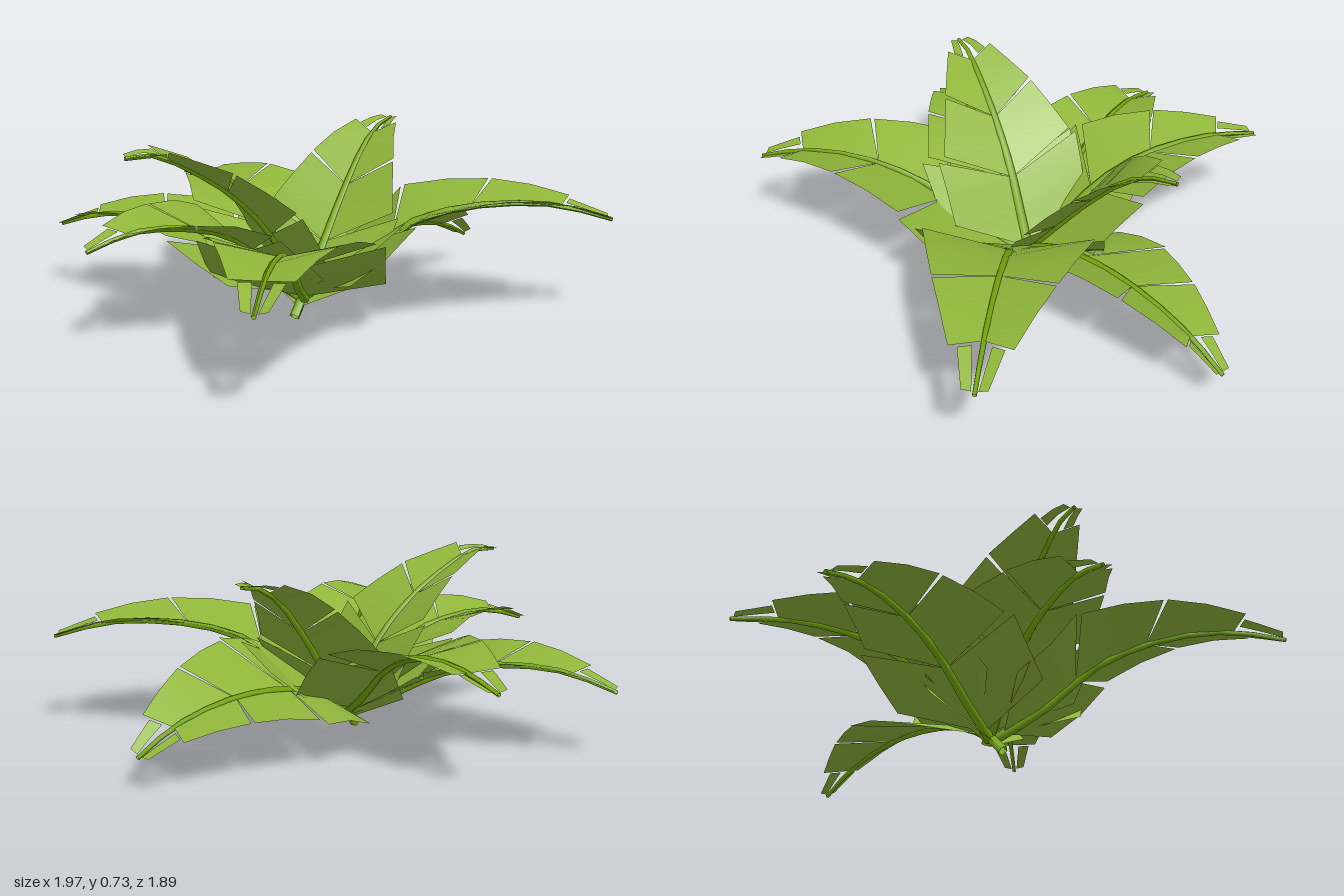
import * as THREE from 'three';

const leafMat = new THREE.MeshStandardMaterial({ color: 0x8fb63a, side: THREE.DoubleSide });
const stemMat = new THREE.MeshStandardMaterial({ color: 0x76a80c, side: THREE.DoubleSide });

// Leaflet pairs along a frond: range on the stem, then inner gap, width, forward sweep
// and upward fold at both ends
const SEGMENTS = [
  { s: [0.04, 0.32], gap: [0, 0], w: [0.33, 0.345], sweep: [0.16, 0.125], lift: [0.1, 0.14] },
  { s: [0.32, 0.57], gap: [0, 0], w: [0.315, 0.22], sweep: [0.145, 0.11], lift: [0.16, 0.22] },
  { s: [0.57, 0.84], gap: [0, 0], w: [0.215, 0.11], sweep: [0.125, 0.05], lift: [0.22, 0.25] },
  { s: [0.86, 0.99], gap: [0.035, 0.012], w: [0.08, 0.045], sweep: [0.02, 0], lift: [0.25, 0.25] },
];

// Fronds: base and tip in plan [x, z], roll about the stem, relative width,
// and the stem's rise as [fraction of the way out, height]
const FRONDS = [
  { name: 'backLeftFrond', base: [-0.09, 0.10], tip: [-0.65, -0.86], roll: 0, width: 0.97,
    rise: [[0, 0.07], [0.17, 0.16], [0.38, 0.28], [0.6, 0.335], [0.82, 0.33], [1, 0.27]] },
  { name: 'backFrond', base: [-0.09, 0.10], tip: [0.04, -0.94], roll: 0, width: 0.95,
    rise: [[0, 0.07], [0.13, 0.17], [0.3, 0.32], [0.5, 0.41], [0.78, 0.43], [1, 0.39]] },
  { name: 'sideFrond', base: [-0.09, 0.10], tip: [0.98, -0.11], roll: 0.34, width: 1,
    rise: [[0, 0.08], [0.16, 0.185], [0.4, 0.245], [0.62, 0.25], [0.85, 0.205], [1, 0.13]] },
  { name: 'frontRightFrond', base: [-0.09, 0.11], tip: [0.87, 0.82], roll: 0, width: 1.04,
    rise: [[0, 0.08], [0.18, 0.22], [0.33, 0.37], [0.52, 0.44], [0.8, 0.45], [1, 0.39]] },
  { name: 'frontLeftFrond', base: [-0.09, 0.11], tip: [-0.89, 0.92], roll: 0, width: 1,
    rise: [[0, 0.07], [0.18, 0.18], [0.37, 0.34], [0.6, 0.42], [0.82, 0.42], [1, 0.36]] },
  { name: 'lowSideFrond', base: [-0.08, 0.10], tip: [-0.98, 0.01], roll: 0, width: 0.97,
    rise: [[0, 0.07], [0.14, 0.2], [0.36, 0.36], [0.55, 0.415], [0.8, 0.43], [1, 0.38]] },
  { name: 'uprightFrondA', base: [-0.15, 0.12], tip: [0.57, -0.16], roll: 0, width: 0.9,
    rise: [[0, 0.01], [0.14, 0.13], [0.28, 0.26], [0.49, 0.45], [0.7, 0.61], [0.86, 0.68], [1, 0.70]] },
  { name: 'uprightFrondB', base: [-0.06, 0.10], tip: [-0.82, 0.02], roll: 0, width: 0.88,
    rise: [[0, 0.06], [0.1, 0.18], [0.25, 0.37], [0.46, 0.53], [0.66, 0.63], [0.85, 0.70], [1, 0.70]] },
];

const lerp = THREE.MathUtils.lerp;

// Tapered five-sided midrib
function makeStem(curve) {
  const rings = 10, sides = 5;
  const geo = new THREE.TubeGeometry(curve, rings, 0.021, sides);
  const pos = geo.attributes.position, p = new THREE.Vector3();
  for (let i = 0; i < pos.count; i++) {
    const u = Math.floor(i / (sides + 1)) / rings;
    const centre = curve.getPointAt(u);
    p.fromBufferAttribute(pos, i).sub(centre).multiplyScalar(lerp(1, 0.4, u)).add(centre);
    pos.setXYZ(i, p.x, p.y, p.z);
  }
  geo.computeVertexNormals();
  const stem = new THREE.Mesh(geo, stemMat);
  stem.name = 'stem';
  return stem;
}

// One leaflet: a small grid swept off the stem to one side
function makeLeaflet(curve, across, seg, side, roll, width) {
  const n = 2, pos = [], idx = [];
  for (let i = 0; i <= n; i++) {
    const f = i / n, at = (range) => lerp(range[0], range[1], f);
    const root = curve.getPointAt(at(seg.s)), along = curve.getTangentAt(at(seg.s));
    const normal = new THREE.Vector3().crossVectors(across, along);
    const angle = at(seg.lift) + side * roll;
    for (const edge of [0, 1]) {
      const w = edge ? at(seg.w) * width : at(seg.gap);
      const p = root.clone()
        .addScaledVector(across, side * w * Math.cos(angle))
        .addScaledVector(normal, w * Math.sin(angle))
        .addScaledVector(along, edge * at(seg.sweep));
      pos.push(p.x, p.y, p.z);
    }
    if (i < n) {
      const a = i * 2;
      if (side > 0) idx.push(a, a + 1, a + 2, a + 1, a + 3, a + 2);
      else idx.push(a, a + 2, a + 1, a + 1, a + 2, a + 3);
    }
  }
  const geo = new THREE.BufferGeometry();
  geo.setAttribute('position', new THREE.Float32BufferAttribute(pos, 3));
  geo.setIndex(idx);
  geo.computeVertexNormals();
  const leaf = new THREE.Mesh(geo, leafMat);
  leaf.name = 'leaflet';
  return leaf;
}

function makeFrond({ name, base, tip, roll, width, rise }) {
  const frond = new THREE.Group();
  frond.name = name;
  const curve = new THREE.CatmullRomCurve3(rise.map(([f, y]) =>
    new THREE.Vector3(lerp(base[0], tip[0], f), y, lerp(base[1], tip[1], f))));
  // Horizontal direction square to the frond
  const across = new THREE.Vector3(base[1] - tip[1], 0, tip[0] - base[0]).normalize();
  frond.add(makeStem(curve));
  for (const seg of SEGMENTS)
    for (const side of [1, -1]) frond.add(makeLeaflet(curve, across, seg, side, roll, width));
  return frond;
}

export function createModel() {
  const plant = new THREE.Group();
  plant.name = 'plant';
  for (const f of FRONDS) plant.add(makeFrond(f));
  return plant;
}
